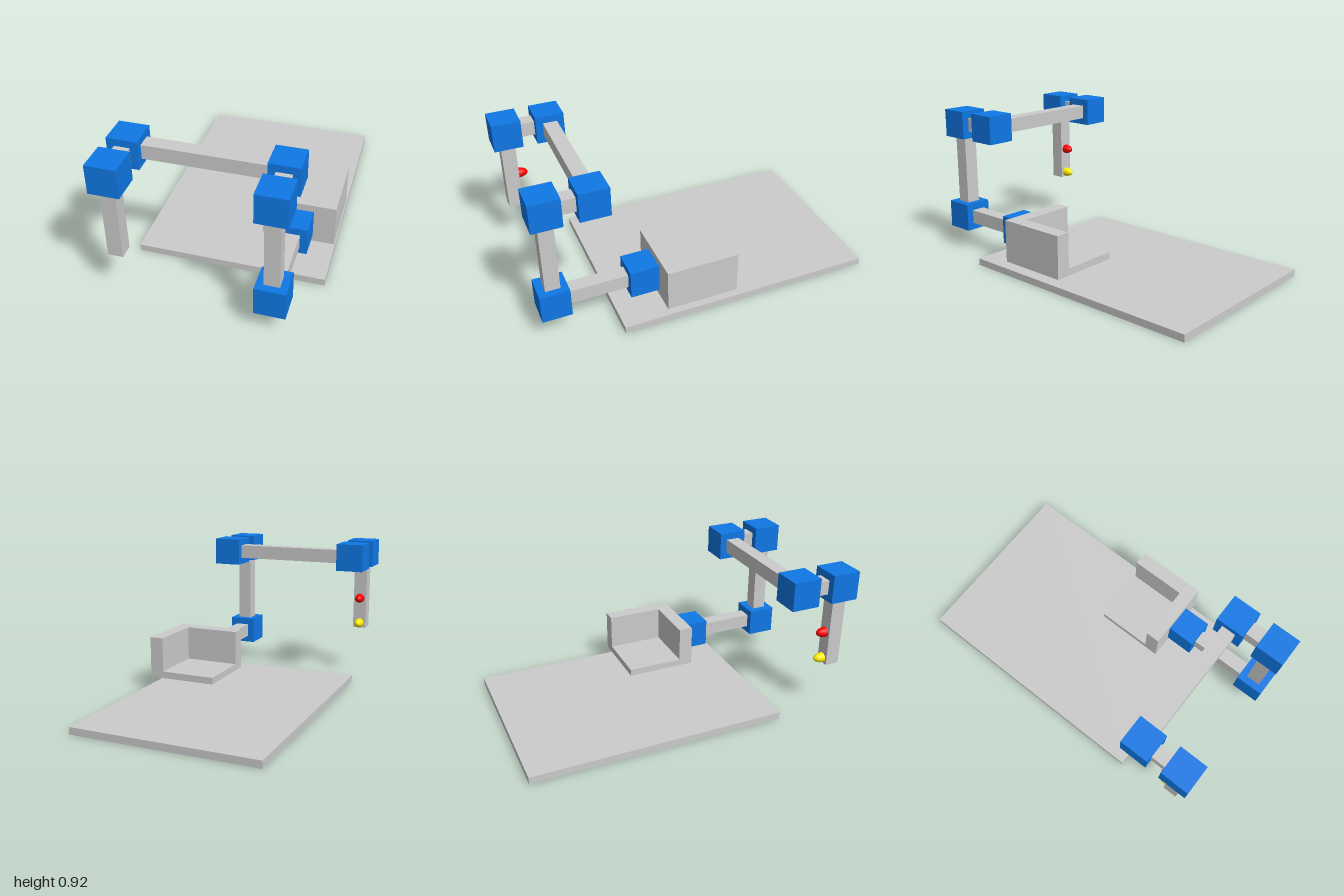
import * as THREE from 'three';

const material = (color) => new THREE.MeshStandardMaterial({ color });

export function createModel() {
  const model = new THREE.Group();
  const grey = material(0xcccccc);
  const blue = material(0x0f78e6);
  const red = material(0xff0000);
  const yellow = material(0xffee00);

  const CUBE = 0.174; // joint edge length
  const BAR = 0.087; // link thickness
  const RIGHT = 0.368, LEFT = -0.502; // x of the two arm columns
  const LOW = 0.219, HIGH = 0.828; // y of the two joint levels
  const INNER = 0.652, OUTER = 0.913; // z of the two joint planes

  const add = (name, geometry, mat, x, y, z) => {
    const mesh = new THREE.Mesh(geometry, mat);
    mesh.name = name;
    mesh.position.set(x, y, z);
    model.add(mesh);
    return mesh;
  };
  // Box given by its limits on each axis
  const box = (name, mat, [x0, x1], [y0, y1], [z0, z1]) =>
    add(name, new THREE.BoxGeometry(x1 - x0, y1 - y0, z1 - z0), mat,
      (x0 + x1) / 2, (y0 + y1) / 2, (z0 + z1) / 2);
  const around = (c, size = BAR) => [c - size / 2, c + size / 2];
  const between = (a, b) => [a + CUBE / 2, b - CUBE / 2];

  // Ground plate and swivel
  box('basePlate', grey, [-0.545, 0.585], [0, 0.043], [-1, 0.565]);
  box('swivel', blue, around(RIGHT), [0.043, 0.09], around(0.09));

  // Open corner bracket: floor and two walls
  box('bracketFloor', grey, [0.15, 0.498], [0.09, 0.133], [-0.13, 0.217]);
  box('bracketFrontWall', grey, [0.15, 0.585], [0.09, 0.35], [0.217, 0.304]);
  box('bracketSideWall', grey, [0.498, 0.585], [0.09, 0.35], [-0.13, 0.217]);

  // Joint cubes
  const joints = {
    shoulderJoint: [RIGHT, LOW, 0.391],
    lowerElbowJoint: [RIGHT, LOW, OUTER],
    upperElbowJoint: [RIGHT, HIGH, OUTER],
    crossbarJointLeft: [RIGHT, HIGH, INNER],
    crossbarJointRight: [LEFT, HIGH, INNER],
    wristJoint: [LEFT, HIGH, OUTER],
  };
  for (const [name, p] of Object.entries(joints)) {
    add(name, new THREE.BoxGeometry(CUBE, CUBE, CUBE), blue, ...p);
  }

  // Links between the joints
  box('lowerLink', grey, around(RIGHT), around(LOW), between(0.391, OUTER));
  box('uprightLink', grey, around(RIGHT), between(LOW, HIGH), around(OUTER));
  box('crossbar', grey, between(LEFT, RIGHT), around(HIGH), around(INNER));
  for (const x of [RIGHT, LEFT]) {
    box('shortLink', grey, around(x), around(HIGH), between(INNER, OUTER));
  }
  box('handLink', grey, around(LEFT), between(LOW, HIGH), around(OUTER));

  // Half-ellipsoid tips on the back of the hand link
  const tip = new THREE.SphereGeometry(1, 32, 16, 0, Math.PI * 2, 0, Math.PI / 2);
  tip.rotateX(-Math.PI / 2);
  tip.scale(0.031, 0.031, 0.061);
  add('redTip', tip, red, LEFT, 0.514, OUTER - BAR / 2);
  add('yellowTip', tip, yellow, LEFT, 0.34, OUTER - BAR / 2);

  return model;
}
